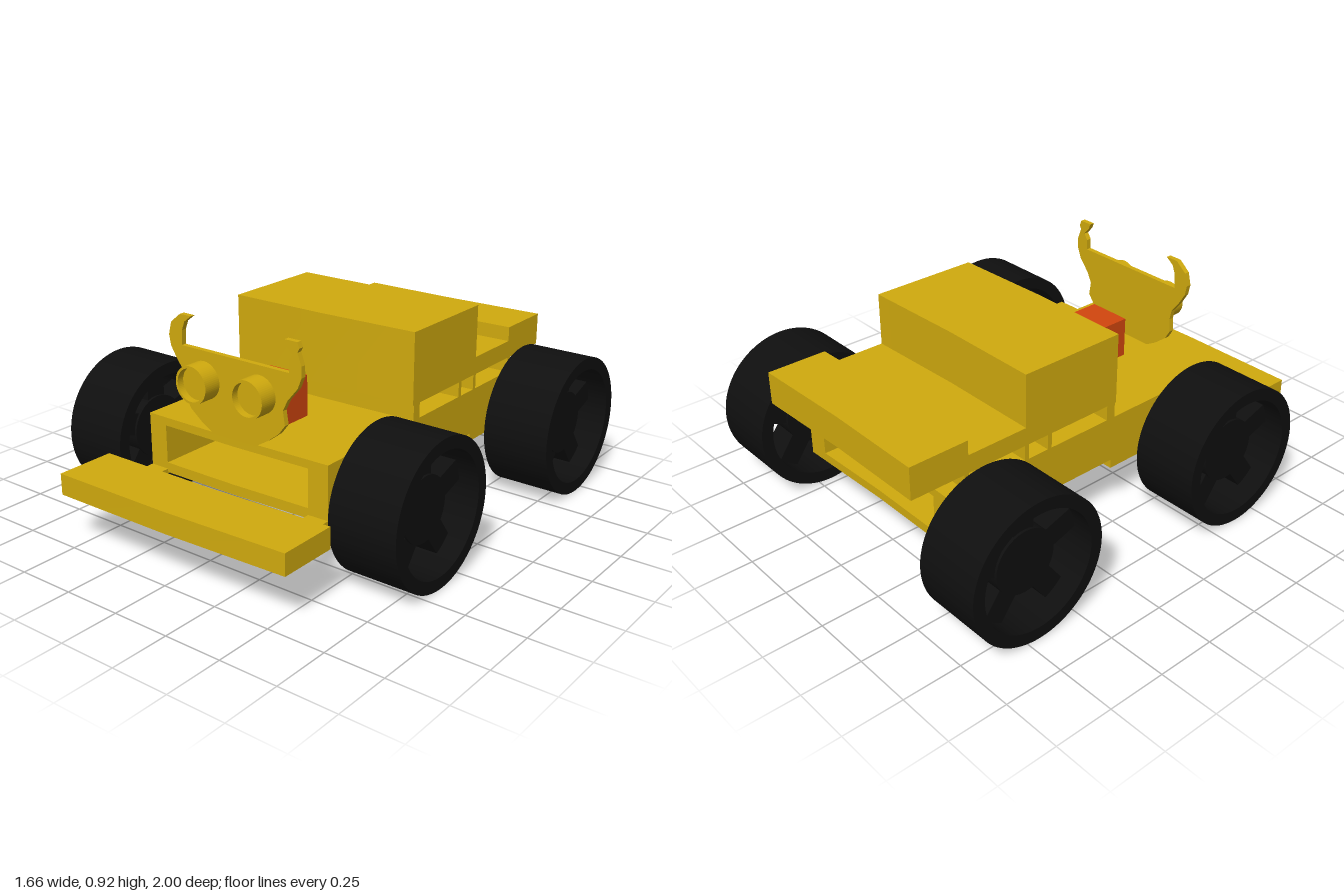
import * as THREE from 'three';

const yellow = new THREE.MeshStandardMaterial({ color: 0xd0aa0e });
yellow.name = 'yellow body';
const red = new THREE.MeshStandardMaterial({ color: 0xd2460e });
red.name = 'red block';
const black = new THREE.MeshStandardMaterial({ color: 0x0f0f0f });
black.name = 'black wheels';

const SKEW = 0.035; // the right-hand half of every cross panel sweeps slightly back

export function createModel() {
  const model = new THREE.Group();
  model.name = 'buggy';

  function add(name, geometry, material, parent = model) {
    const mesh = new THREE.Mesh(geometry, material);
    mesh.name = name;
    parent.add(mesh);
    return mesh;
  }

  // Box given by its limits, with the sweep applied beyond x = 0
  function slab(name, [x0, x1], [y0, y1], [z0, z1], material = yellow, skew = SKEW) {
    const geo = new THREE.BoxGeometry(x1 - x0, y1 - y0, z1 - z0, 2, 1, 1);
    geo.translate((x0 + x1) / 2, (y0 + y1) / 2, (z0 + z1) / 2);
    const p = geo.attributes.position;
    for (let i = 0; i < p.count; i++) p.setZ(i, p.getZ(i) - skew * Math.max(0, p.getX(i)));
    geo.computeVertexNormals();
    return add(name, geo, material);
  }

  const W = [-0.447, 0.449];

  // Hollow chassis: top plate, side walls and a stepped floor, open at both ends
  slab('chassisTop', W, [0.43, 0.465], [-0.8, 0.6]);
  slab('frontFloor', W, [0.225, 0.268], [0.03, 0.6]);
  slab('middleFloor', W, [0.265, 0.305], [-0.4, 0.03]);
  slab('rearFloor', W, [0.23, 0.268], [-0.8, -0.4]);
  for (const [side, x] of [['left', [0.357, 0.449]], ['right', [-0.447, -0.36]]]) {
    slab(side + 'ChassisWall', x, [0.265, 0.432], [-0.8, 0.6]);
    slab(side + 'BumperArm', x, [0.22, 0.24], [0.59, 0.76]);
  }
  slab('bumper', [-0.545, 0.567], [0.22, 0.31], [0.745, 1.0]);

  // Cabin on cross plates
  slab('cabin', W, [0.53, 0.835], [-0.425, 0.048]);
  for (const z of [[0.0, 0.042], [-0.315, -0.295], [-0.43, -0.41]]) {
    slab('cabinSupport', W, [0.46, 0.532], z);
  }

  // Stepped rear deck
  slab('rearDeck', W, [0.53, 0.607], [-0.71, -0.42]);
  slab('raisedRearDeck', W, [0.53, 0.67], [-0.96, -0.7]);
  slab('deckSupport', W, [0.46, 0.532], [-0.72, -0.7]);

  slab('engineBlock', [-0.11, 0.08], [0.46, 0.64], [0.24, 0.435], red, 0);

  // Horned face plate
  const outline = [
    [-0.1, 0.46], [0.113, 0.46], [0.176, 0.498], [0.229, 0.538], [0.26, 0.578], [0.251, 0.636],
    [0.273, 0.68], [0.322, 0.738], [0.34, 0.782], [0.34, 0.827], [0.322, 0.876], [0.331, 0.893],
    [0.322, 0.916], [0.264, 0.916], [0.273, 0.893], [0.3, 0.862], [0.282, 0.836], [0.282, 0.791],
    [-0.251, 0.791], [-0.247, 0.853], [-0.233, 0.889], [-0.198, 0.916], [-0.255, 0.916],
    [-0.304, 0.876], [-0.318, 0.822], [-0.309, 0.778], [-0.282, 0.733], [-0.242, 0.68],
    [-0.233, 0.636], [-0.238, 0.578], [-0.215, 0.538], [-0.158, 0.493],
  ].map(([x, y]) => new THREE.Vector2(x, y));
  const face = add('hornedFacePlate', new THREE.ExtrudeGeometry(new THREE.Shape(outline),
    { depth: 0.022, bevelEnabled: false }), yellow);
  face.position.z = 0.578;

  // Cupped round eyes: outer wall, lip, recess
  const cup = new THREE.Shape().absarc(0, 0, 0.077, 0, Math.PI * 2);
  cup.holes.push(new THREE.Path().absarc(0, 0, 0.067, 0, Math.PI * 2, true));
  const cupGeo = new THREE.ExtrudeGeometry(cup, { depth: 0.08, bevelEnabled: false, curveSegments: 32 });
  const lensGeo = new THREE.CylinderGeometry(0.068, 0.068, 0.05, 32).rotateX(Math.PI / 2);
  for (const [side, x, y] of [['left', 0.14, 0.676], ['right', -0.138, 0.672]]) {
    const eye = new THREE.Group();
    eye.name = side + 'Eye';
    eye.position.set(x, y, 0.598);
    add('eyeRing', cupGeo, yellow, eye);
    add('eyeLens', lensGeo, yellow, eye).position.z = 0.025;
    model.add(eye);
  }

  // Wheels: wide hollow tyre, five spokes, hub and a stub axle
  const ring = new THREE.Shape().absarc(0, 0, 0.302, 0, Math.PI * 2);
  ring.holes.push(new THREE.Path().absarc(0, 0, 0.25, 0, Math.PI * 2, true));
  const tyreGeo = new THREE.ExtrudeGeometry(ring, { depth: 0.295, bevelEnabled: false, curveSegments: 48 })
    .translate(0, 0, -0.1475).rotateY(Math.PI / 2);
  const hubGeo = new THREE.CylinderGeometry(0.135, 0.135, 0.14, 32).rotateZ(Math.PI / 2);
  const spokeGeo = new THREE.BoxGeometry(0.12, 0.17, 0.095).translate(0, 0.185, 0);
  const axleGeo = new THREE.CylinderGeometry(0.053, 0.053, 0.29, 24).rotateZ(Math.PI / 2);
  for (const [end, z] of [['front', 0.394], ['rear', -0.695]]) {
    for (const [side, s] of [['Left', 1], ['Right', -1]]) {
      const wheel = new THREE.Group();
      wheel.name = end + side + 'Wheel';
      wheel.position.set(s * 0.6805, 0.303, z);
      add('tyre', tyreGeo, black, wheel);
      add('hub', hubGeo, black, wheel);
      for (let i = 0; i < 5; i++) {
        add('spoke', spokeGeo, black, wheel).rotation.x = (i * Math.PI * 2) / 5;
      }
      add('stubAxle', axleGeo, black, wheel).position.x = -s * 0.145;
      model.add(wheel);
    }
  }
  return model;
}
